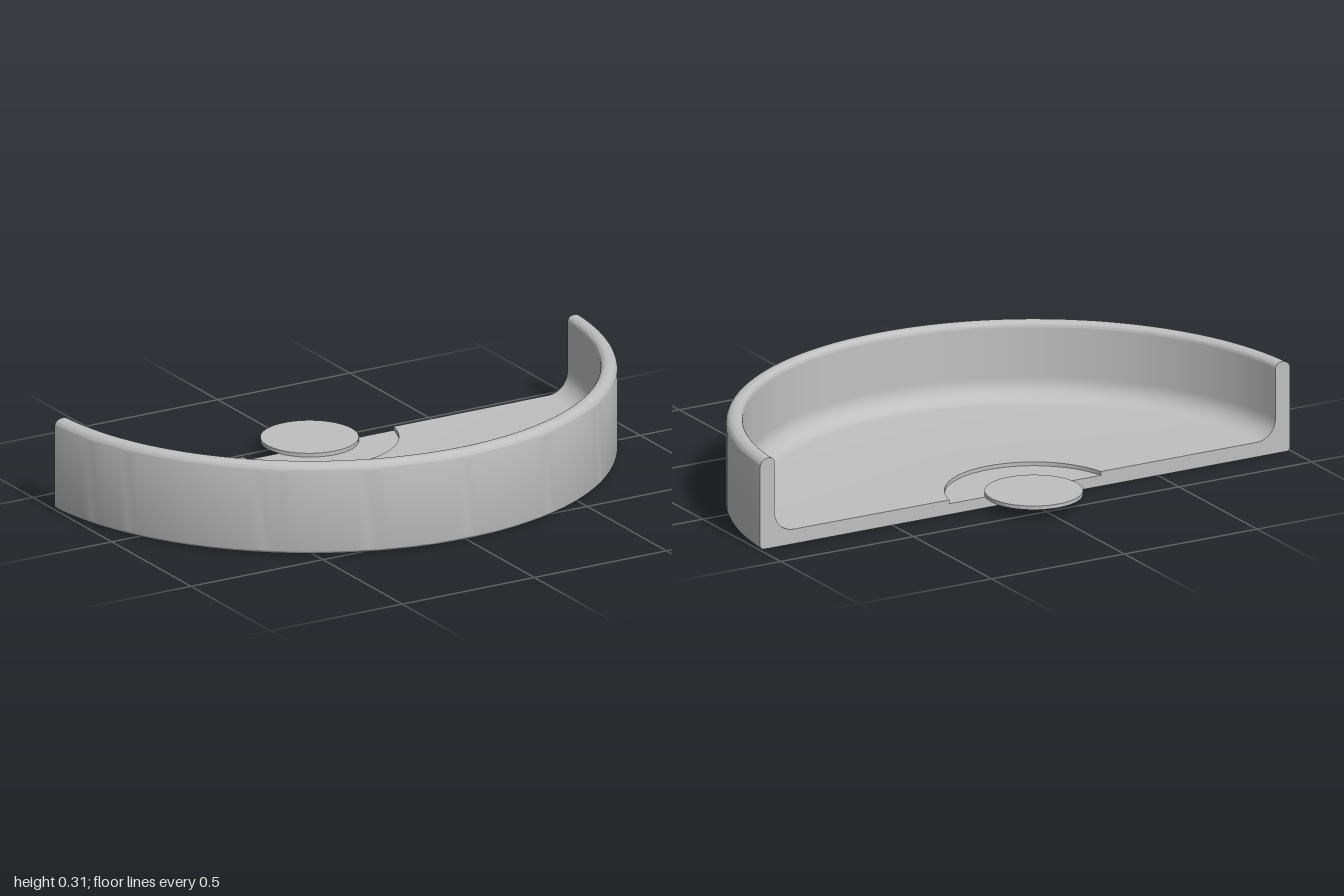
import * as THREE from 'three';
import { toCreasedNormals } from 'three/addons/utils/BufferGeometryUtils.js';

const CENTRE_Z = -0.42; // axis of the round dish
const CUT = 0.055;      // distance of the flat cut in front of that axis

// Rounded corner of a profile, swept between two angles in degrees
function arc(cx, cy, r, from, to, steps = 7) {
  return Array.from({ length: steps + 1 }, (_, i) => {
    const a = THREE.MathUtils.degToRad(from + (to - from) * i / steps);
    return new THREE.Vector2(cx + r * Math.cos(a), cy + r * Math.sin(a));
  });
}

export function createModel() {
  const grey = new THREE.MeshStandardMaterial({ color: 0xbfbfbf });
  grey.name = 'grey';
  const group = new THREE.Group();
  group.name = 'halfDish';

  const add = (name, geometry, z) => {
    const mesh = new THREE.Mesh(geometry, grey);
    mesh.name = name;
    mesh.position.z = z;
    group.add(mesh);
    return mesh;
  };

  // Section: underside, outer wall, rounded rim, inner wall, floor fillet, recess
  const profile = [
    new THREE.Vector2(CUT, 0),
    ...arc(0.985, 0.015, 0.015, -90, 0),
    ...arc(0.972, 0.282, 0.028, 0, 90),
    ...arc(0.965, 0.29, 0.02, 90, 180),
    ...arc(0.875, 0.12, 0.07, 0, -90),
    new THREE.Vector2(0.29, 0.05),
    new THREE.Vector2(0.29, 0.037),
    new THREE.Vector2(CUT, 0.037),
  ];

  // Lathe whose rings each stop exactly at the flat cut
  const dish = new THREE.LatheGeometry(profile, 96);
  const pos = dish.attributes.position;
  const uv = dish.attributes.uv;
  for (let i = 0; i < pos.count; i++) {
    const r = profile[i % profile.length].x;
    const half = Math.acos(Math.min(1, CUT / r));
    const phi = (uv.getX(i) * 2 - 1) * half;
    pos.setXYZ(i, r * Math.sin(phi), pos.getY(i), r * Math.cos(phi));
  }
  add('dishShell', toCreasedNormals(dish, 0.6), CENTRE_Z);

  // Flat face closing the section along the cut
  const side = profile.map(p => new THREE.Vector2(Math.sqrt(Math.max(0, p.x * p.x - CUT * CUT)), p.y));
  const mirrored = side.slice(1, -1).reverse().map(p => new THREE.Vector2(-p.x, p.y));
  const face = new THREE.ShapeGeometry(new THREE.Shape([...side, ...mirrored]));
  face.rotateY(Math.PI);
  add('cutFace', face, CENTRE_Z + CUT);

  // Thin round disc lying in the recess and overhanging the cut
  const disc = add('centreDisc', new THREE.CylinderGeometry(0.16, 0.16, 0.013, 64), CENTRE_Z);
  disc.position.y = 0.0435;

  return group;
}
